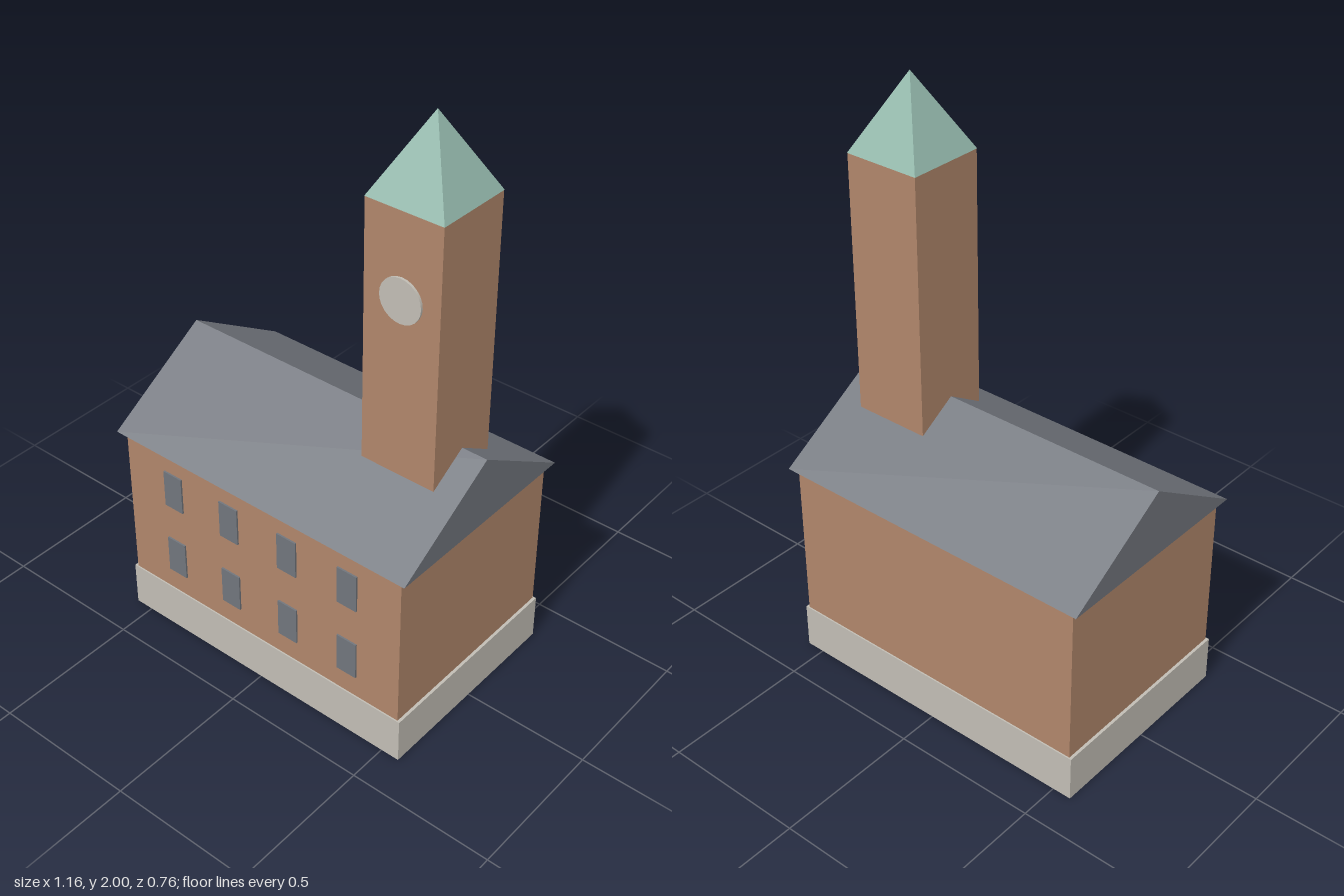
import * as THREE from 'three';

const material = (name, color) => {
  const m = new THREE.MeshStandardMaterial({ color });
  m.name = name;
  return m;
};

export function createModel() {
  const group = new THREE.Group();
  const brick = material('brick', 0xb0866b);
  const stone = material('stone', 0xc1bdb4);
  const slate = material('slate', 0x71757c);
  const copper = material('copper', 0x93b8ab);

  const add = (name, geometry, mat, x = 0, y = 0, z = 0) => {
    const mesh = new THREE.Mesh(geometry, mat);
    mesh.name = name;
    mesh.position.set(x, y, z);
    group.add(mesh);
    return mesh;
  };
  // Box placed by its bottom height
  const box = (name, w, h, d, mat, x, y, z) =>
    add(name, new THREE.BoxGeometry(w, h, d), mat, x, y + h / 2, z);

  // Main hall
  box('plinth', 1.13, 0.16, 0.73, stone, 0, 0, 0);
  box('walls', 1.11, 0.71, 0.72, brick, 0, 0.01, 0);

  // Gabled roof, a triangle extruded along x
  const gable = new THREE.Shape([
    new THREE.Vector2(-0.38, 0),
    new THREE.Vector2(0.38, 0),
    new THREE.Vector2(0, 0.235),
  ]);
  const roof = new THREE.ExtrudeGeometry(gable, { depth: 1.16, bevelEnabled: false });
  roof.translate(0, 0, -0.58).rotateY(Math.PI / 2);
  add('roof', roof, slate, 0, 0.72, 0);

  // Two rows of front windows
  for (const y of [0.24, 0.51]) {
    for (const x of [-0.356, -0.119, 0.119, 0.356]) {
      box('window', 0.075, 0.135, 0.008, slate, x, y, 0.362);
    }
  }

  // Clock tower
  const towerX = 0.356;
  box('tower', 0.268, 1.03, 0.268, brick, towerX, 0.72, 0);

  const spire = new THREE.ConeGeometry(0.135 * Math.SQRT2, 0.25, 4).toNonIndexed();
  spire.rotateY(Math.PI / 4);
  spire.computeVertexNormals();
  add('spire', spire, copper, towerX, 1.875, 0);

  const clock = new THREE.CylinderGeometry(0.073, 0.073, 0.009, 24);
  clock.rotateX(Math.PI / 2);
  add('clockFace', clock, stone, towerX, 1.473, 0.1375);

  return group;
}
